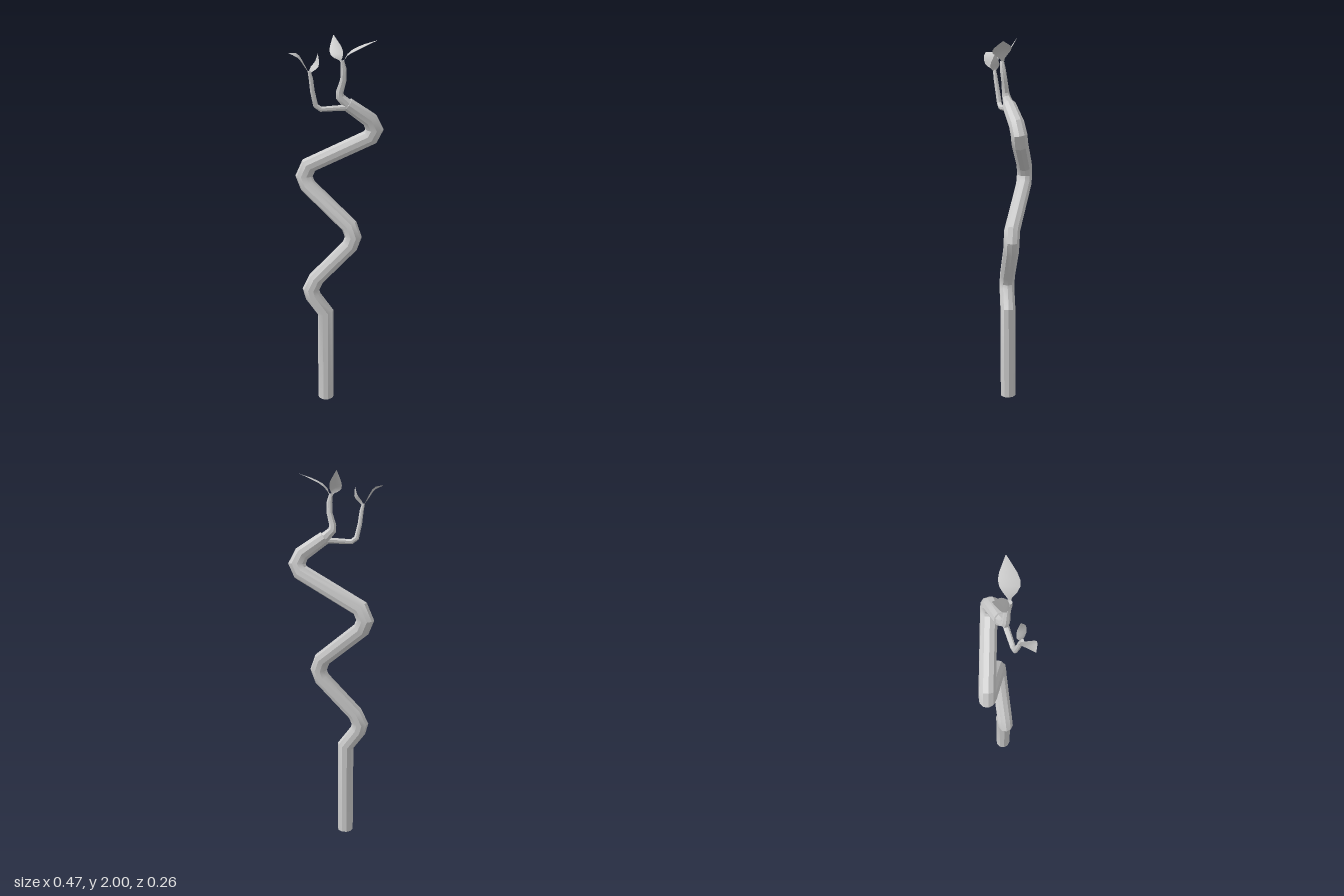
import * as THREE from 'three';
import { toCreasedNormals } from 'three/addons/utils/BufferGeometryUtils.js';

const V = (p) => new THREE.Vector3(...p);
const stemMaterial = new THREE.MeshStandardMaterial({ color: 0xcccccc });
const leafMaterial = new THREE.MeshStandardMaterial({ color: 0xcccccc, side: THREE.DoubleSide });

function makeMesh(name, positions, index, material, crease) {
  const geo = new THREE.BufferGeometry();
  geo.setAttribute('position', new THREE.Float32BufferAttribute(positions, 3));
  geo.setIndex(index);
  const mesh = new THREE.Mesh(toCreasedNormals(geo, crease), material);
  mesh.name = name;
  return mesh;
}

// Faceted tube with mitred joints; each point is [x, y, z, radius]
function sweep(name, points, sides) {
  const c = points.map((p) => V(p.slice(0, 3)));
  const last = c.length - 1;
  const dirs = c.slice(1).map((p, i) => p.clone().sub(c[i]).normalize());
  const u = new THREE.Vector3(0, 0, 1).addScaledVector(dirs[0], -dirs[0].z).normalize();
  const v = dirs[0].clone().cross(u);
  let ring = [];
  for (let k = 0; k < sides; k++) {
    const a = ((k + 0.5) / sides) * Math.PI * 2;
    ring.push(u.clone().multiplyScalar(Math.cos(a)).addScaledVector(v, Math.sin(a)));
  }
  const pos = [], idx = [];
  for (let i = 0; i <= last; i++) {
    if (i > 0) {
      // slide the ring along the segment onto the bisecting plane
      const d = dirs[i - 1];
      const m = i < last ? d.clone().add(dirs[i]).normalize() : d;
      ring = ring.map((o) => o.clone().addScaledVector(d, -o.dot(m) / d.dot(m)));
    }
    ring.forEach((o) => pos.push(...c[i].clone().addScaledVector(o, points[i][3]).toArray()));
    for (let k = 0; k < sides && i < last; k++) {
      const a = i * sides + k, b = i * sides + ((k + 1) % sides);
      idx.push(a, b, a + sides, b, b + sides, a + sides);
    }
  }
  // end caps
  const e = last * sides;
  for (let k = 1; k < sides - 1; k++) idx.push(0, k + 1, k, e, e + k, e + k + 1);
  return makeMesh(name, pos, idx, stemMaterial, 0.5);
}

// Thin curved blade: a spine through the points, widened along the across vector
function leaf(name, spine, across, halfWidth, cup) {
  const curve = new THREE.CatmullRomCurve3(spine.map(V));
  const side = V(across).normalize();
  const profile = [0.12, 0.2, 0.65, 0.95, 1, 0.8, 0.42, 0.03];
  const pos = [], idx = [];
  profile.forEach((w, i) => {
    const t = i / (profile.length - 1);
    const p = curve.getPoint(t);
    const n = curve.getTangent(t).cross(side).normalize();
    for (let j = -1; j <= 1; j++) {
      pos.push(...p.clone().addScaledVector(side, j * w * halfWidth)
        .addScaledVector(n, Math.abs(j) * w * cup).toArray());
    }
    if (i === 0) return;
    for (let j = 0; j < 2; j++) {
      const a = (i - 1) * 3 + j;
      idx.push(a, a + 1, a + 3, a + 1, a + 4, a + 3);
    }
  });
  return makeMesh(name, pos, idx, leafMaterial, 0.6);
}

export function createModel() {
  const model = new THREE.Group();
  model.name = 'twistedSapling';

  // Zigzag trunk with rounded bends
  const r = 0.043;
  model.add(sweep('trunk', [
    [-0.067, 0, 0.018, r], [-0.067, 0.52, 0.018, r],
    [-0.135, 0.615, 0.016, r], [-0.146, 0.655, 0.015, r], [-0.118, 0.715, 0.014, r],
    [0.065, 0.905, 0.014, r], [0.083, 0.955, 0.014, r], [0.062, 1.015, 0.008, r],
    [-0.162, 1.215, -0.08, r], [-0.182, 1.265, -0.087, r], [-0.155, 1.325, -0.082, r],
    [0.168, 1.488, -0.018, r], [0.189, 1.53, -0.012, r], [0.165, 1.58, -0.003, 0.041],
    [0.05, 1.662, 0.022, 0.036],
  ], 10));

  // Two thin branches forking from the trunk tip
  model.add(sweep('upperBranch', [
    [0.08, 1.642, 0.016, 0.032], [0.045, 1.667, 0.024, 0.028], [0.012, 1.7, 0.032, 0.022],
    [0.01, 1.725, 0.036, 0.019], [0.028, 1.785, 0.044, 0.016], [0.03, 1.84, 0.052, 0.015],
    [0.022, 1.88, 0.055, 0.01],
  ], 8));
  model.add(sweep('sideBranch', [
    [0.07, 1.648, 0.02, 0.02], [0.02, 1.646, 0.038, 0.015], [-0.085, 1.641, 0.052, 0.013],
    [-0.11, 1.66, 0.057, 0.013], [-0.125, 1.73, 0.066, 0.012], [-0.132, 1.795, 0.075, 0.011],
    [-0.14, 1.832, 0.079, 0.008],
  ], 8));

  // Leaves at the branch tips
  model.add(leaf('uprightLeaf',
    [[0.022, 1.87, 0.052], [0.0, 1.9, 0.044], [-0.012, 1.945, 0.01], [-0.022, 2.0, -0.03]],
    [1, 0.1, 0.1], 0.033, 0.006));
  model.add(leaf('spreadingLeaf',
    [[0.024, 1.865, 0.05], [0.055, 1.92, 0.06], [0.115, 1.952, 0.064], [0.195, 1.978, 0.066]],
    [-0.1, -0.15, 1], 0.048, 0.006));
  model.add(leaf('sideOuterLeaf',
    [[-0.138, 1.82, 0.078], [-0.165, 1.856, 0.088], [-0.195, 1.9, 0.098], [-0.238, 1.92, 0.115]],
    [0.2, -0.3, 1], 0.04, 0.006));
  model.add(leaf('sideInnerLeaf',
    [[-0.138, 1.815, 0.078], [-0.13, 1.84, 0.08], [-0.105, 1.87, 0.083], [-0.097, 1.915, 0.078]],
    [0.45, -0.2, 0.85], 0.029, 0.005));

  return model;
}
